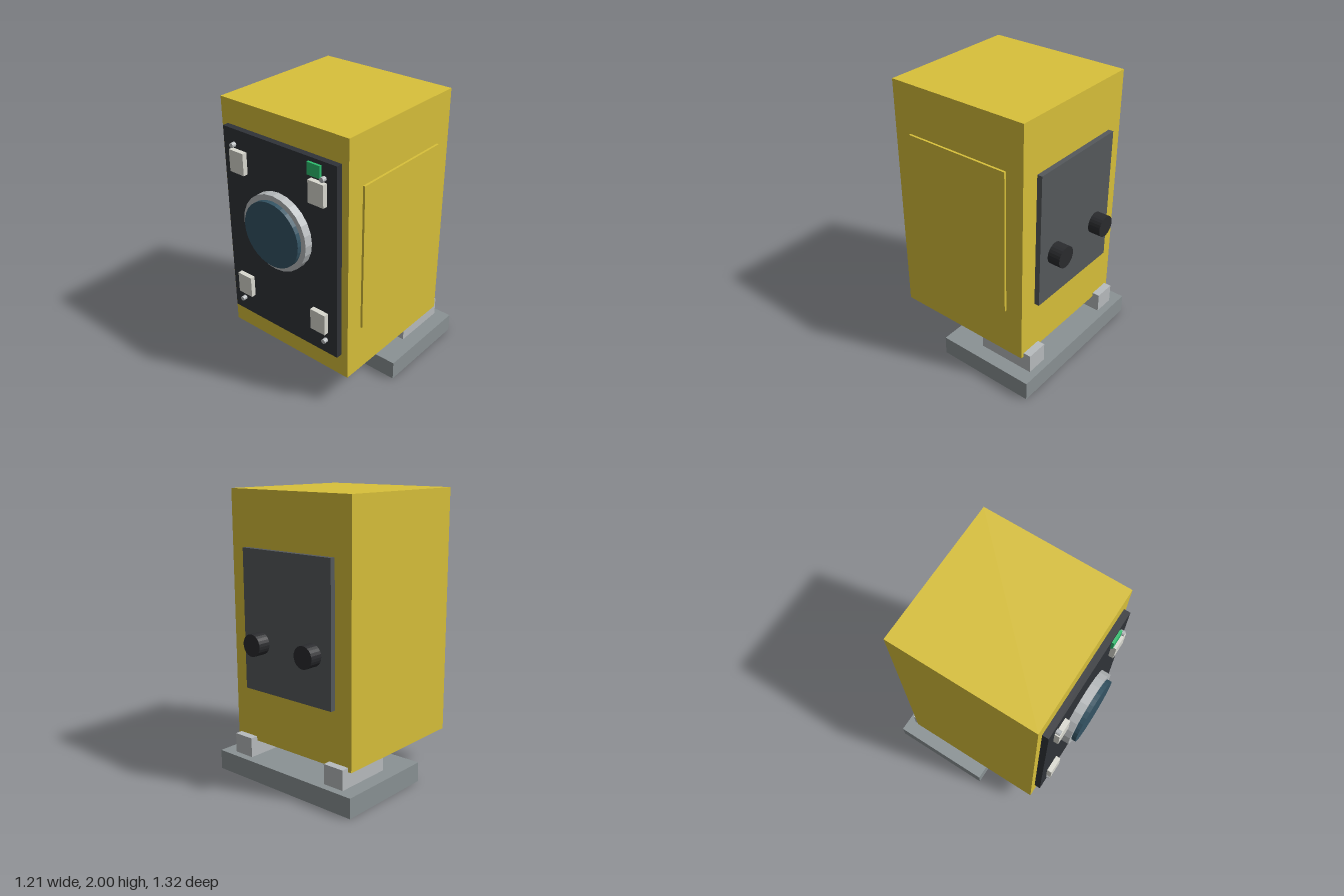
import * as THREE from 'three';

const mat = (color) => new THREE.MeshStandardMaterial({ color, flatShading: true });

export function createModel() {
  const model = new THREE.Group();
  const yellow = mat(0xd8c03a), black = mat(0x303338), darkGrey = mat(0x55595c);
  const baseGrey = mat(0x8a9294), steel = mat(0xb8bcbe), ivory = mat(0xd9d9d0);
  const glass = mat(0x345464), green = mat(0x2dbd6e), knobBlack = mat(0x2a2b2e);

  // Box given by its extents on each axis
  const box = (name, material, [x0, x1], [y0, y1], [z0, z1]) => {
    const mesh = new THREE.Mesh(new THREE.BoxGeometry(x1 - x0, y1 - y0, z1 - z0), material);
    mesh.position.set((x0 + x1) / 2, (y0 + y1) / 2, (z0 + z1) / 2);
    mesh.name = name;
    model.add(mesh);
  };

  // Cylinder lying along z
  const disc = (name, material, x, y, r, [z0, z1], sides = 24) => {
    const geometry = new THREE.CylinderGeometry(r, r, z1 - z0, sides).rotateX(Math.PI / 2);
    const mesh = new THREE.Mesh(geometry, material);
    mesh.position.set(x, y, (z0 + z1) / 2);
    mesh.name = name;
    model.add(mesh);
  };

  // Housing and its panels
  box('housing', yellow, [-0.525, 0.525], [0.25, 2], [-0.53, 0.523]);
  box('sideDoor', yellow, [0.51, 0.541], [0.6, 1.652], [-0.4, 0.39]);
  box('frontPanel', black, [-0.473, 0.473], [0.425, 1.828], [0.51, 0.568]);
  box('backPanel', darkGrey, [-0.39, 0.39], [0.64, 1.617], [-0.567, -0.52]);

  // Round window
  disc('windowRing', steel, 0, 1.23, 0.27, [0.56, 0.627]);
  disc('windowGlass', glass, 0, 1.23, 0.232, [0.6, 0.658], 32);

  // Status light
  box('statusLight', green, [0.253, 0.355], [1.715, 1.8], [0.56, 0.585]);

  // Base plate
  box('basePlate', baseGrey, [-0.605, 0.605], [0, 0.14], [-0.638, 0.1]);

  // Mirrored parts: mounting blocks, knobs, front pads and screws
  for (const s of [-1, 1]) {
    const span = (a, b) => (s > 0 ? [a, b] : [-b, -a]);
    box('mountingBlock', steel, span(0.34, 0.5), [0.14, 0.28], [-0.585, -0.165]);
    disc('backKnob', knobBlack, s * 0.232, 0.985, 0.077, [-0.658, -0.56]);
    for (const y of [0.595, 1.54]) box('frontPad', ivory, span(0.273, 0.396), [y, y + 0.155], [0.56, 0.603]);
    for (const y of [0.53, 1.722]) disc('screw', steel, s * 0.378, y, 0.017, [0.56, 0.599], 12);
  }
  return model;
}
